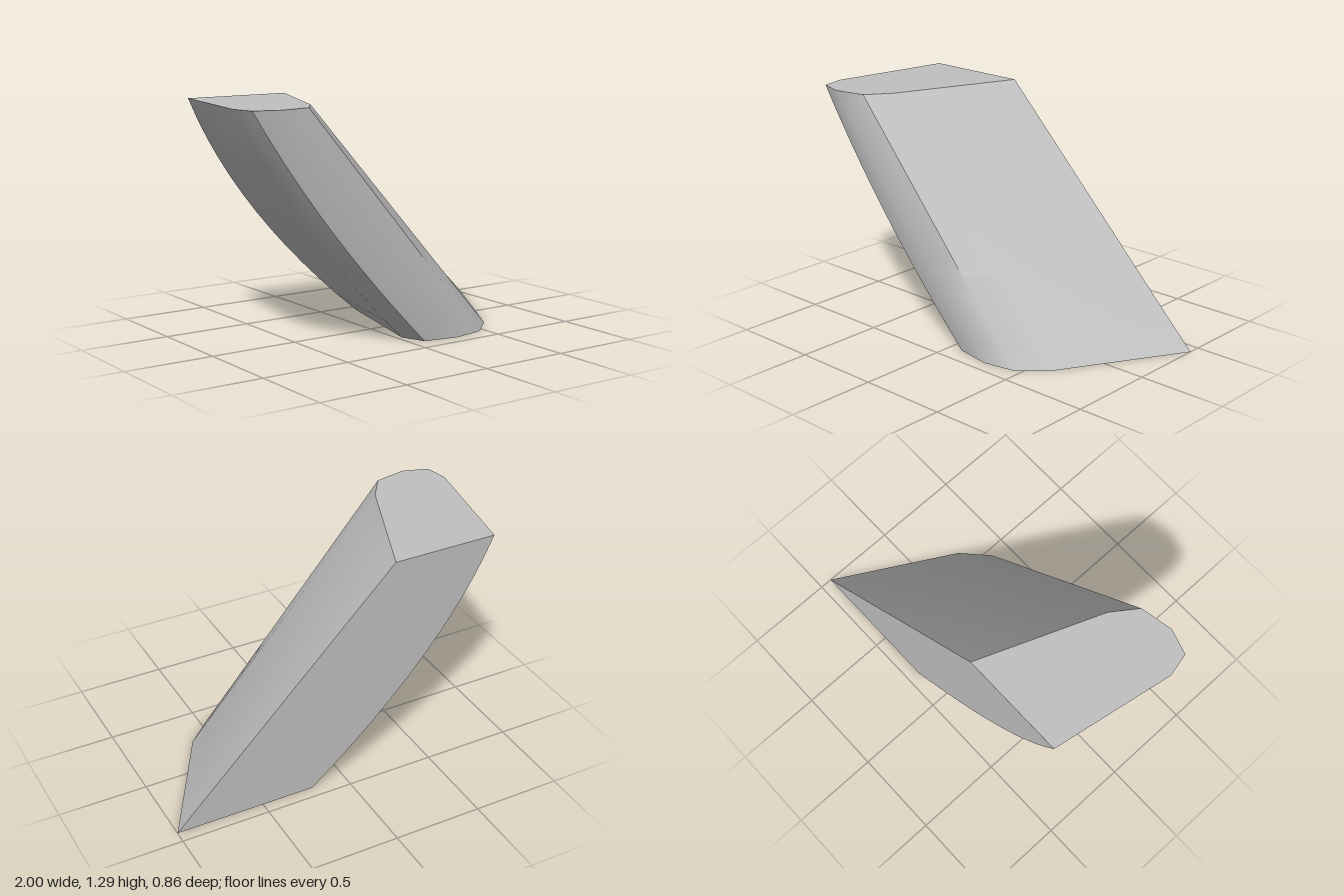
import * as THREE from 'three';
import { toCreasedNormals } from 'three/addons/utils/BufferGeometryUtils.js';

const HEIGHT = 1.295;
const STEPS = 12;

// Each rail runs from floor to top: [bottom x, bottom z, top x, top z, outward bow]
const RAILS = [
  [1.0, -0.43, -0.28, -0.43, 0],
  [0.61, 0.25, -0.55, 0.25, 0],
  [0.46, 0.39, -0.65, 0.39, 0],
  [0.28, 0.425, -0.83, 0.425, 0.02],
  [0.08, 0.39, -0.97, 0.38, 0.06],
  [0.03, 0.25, -1.0, 0.25, 0.085],
  [0.2, -0.43, -0.88, -0.43, 0.13],
];

// Leaning block: cross-sections joined between the rails, closed by two caps
function leaningBlock() {
  const n = RAILS.length;
  const positions = [];
  const index = [];
  for (let s = 0; s <= STEPS; s++) {
    const t = s / STEPS;
    for (const [bx, bz, tx, tz, bow] of RAILS) {
      const x = bx + (tx - bx) * t - bow * 4 * t * (1 - t);
      positions.push(x, HEIGHT * t, bz + (tz - bz) * t);
    }
  }
  for (let s = 0; s < STEPS; s++) {
    for (let i = 0; i < n; i++) {
      const j = (i + 1) % n;
      const a = s * n + i, b = s * n + j;
      index.push(b, a, a + n, b, a + n, b + n);
    }
  }
  const top = STEPS * n;
  for (let i = 1; i < n - 1; i++) {
    index.push(0, i, i + 1);
    index.push(top, top + i + 1, top + i);
  }
  const geometry = new THREE.BufferGeometry();
  geometry.setAttribute('position', new THREE.Float32BufferAttribute(positions, 3));
  geometry.setIndex(index);
  return toCreasedNormals(geometry, 0.72);
}

export function createModel() {
  const group = new THREE.Group();
  group.name = 'leaningBlockModel';
  const grey = new THREE.MeshStandardMaterial({ color: 0xc0c0c0 });
  grey.name = 'light grey';
  const block = new THREE.Mesh(leaningBlock(), grey);
  block.name = 'leaningBlock';
  group.add(block);
  return group;
}
